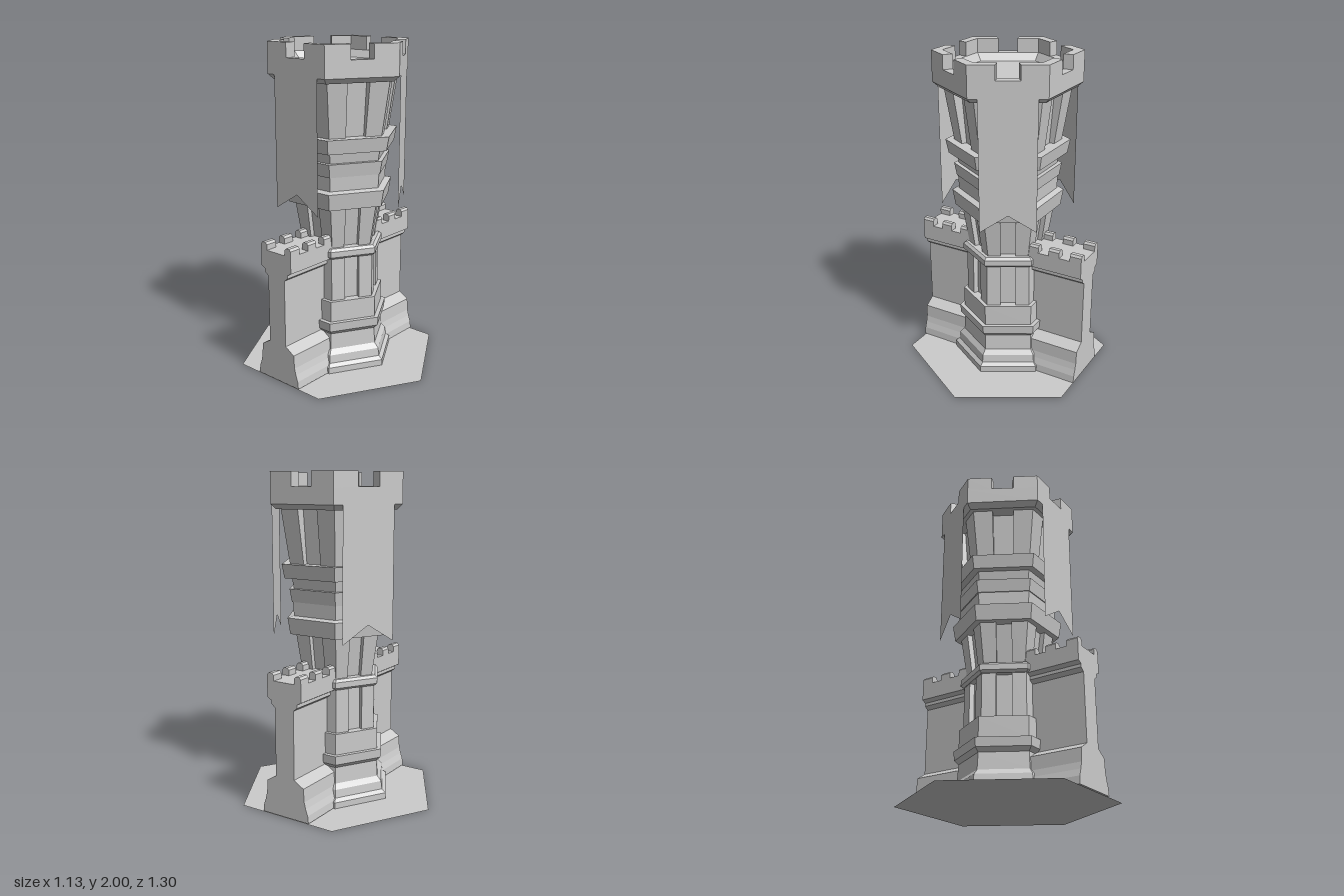
import * as THREE from 'three';

const mat = new THREE.MeshStandardMaterial({ color: 0xcccccc, flatShading: true });
const thinMat = new THREE.MeshStandardMaterial({ color: 0xcccccc, flatShading: true, side: THREE.DoubleSide });
const COS30 = Math.cos(Math.PI / 6);

function add(parent, name, geometry, material = mat) {
  const mesh = new THREE.Mesh(geometry, material);
  mesh.name = name;
  parent.add(mesh);
  return mesh;
}

// Cross-section of an angled corner block: half-gap g beside each face centre,
// outer and inner corner radii ro and ri
function cornerSection(y, ro, ri, g, gi = g) {
  const onFace = (face, r, s) => {
    const c = Math.cos(face), n = Math.sin(face), a = r * COS30;
    return [c * a - n * s, y, n * a + c * s];
  };
  const corner = (r) => [r * COS30, y, r * 0.5];
  const f = Math.PI / 3;
  return [onFace(0, ro, g), corner(ro), onFace(f, ro, -g), onFace(f, ri, -gi), corner(ri), onFace(0, ri, gi)];
}

// Joins a lower and an upper corner section into a closed block
function cornerBlock(lower, upper) {
  const index = [];
  const quad = (a, b, c, d) => index.push(a, b, c, a, c, d);
  for (let i = 0; i < 6; i++) {
    const j = (i + 1) % 6;
    quad(i, i + 6, j + 6, j);
  }
  quad(0, 1, 4, 5);
  quad(1, 2, 3, 4);
  quad(11, 10, 7, 6);
  quad(10, 9, 8, 7);
  const geo = new THREE.BufferGeometry();
  geo.setAttribute('position', new THREE.Float32BufferAttribute([...lower, ...upper].flat(), 3));
  geo.setIndex(index);
  geo.computeVertexNormals();
  return geo;
}

// Repeats a corner block on all six corners
function cornerRing(parent, name, lower, upper) {
  const ring = new THREE.Group();
  ring.name = name + 's';
  const geo = cornerBlock(lower, upper);
  for (let k = 0; k < 6; k++) add(ring, name, geo).rotation.y = k * Math.PI / 3;
  parent.add(ring);
}

// Extrudes a (z, y) outline along x, from x0 to x1
function extrudeX(points, x0, x1) {
  const shape = new THREE.Shape(points.map(([z, y]) => new THREE.Vector2(-z, y)));
  const geo = new THREE.ExtrudeGeometry(shape, { depth: x1 - x0, bevelEnabled: false });
  return geo.rotateY(Math.PI / 2).translate(x0, 0, 0);
}

export function createModel() {
  const model = new THREE.Group();
  model.name = 'hexagonalTower';

  // Flat six-sided ground plate
  add(model, 'groundPlate', new THREE.CircleGeometry(0.65, 6, Math.PI / 2).rotateX(-Math.PI / 2), thinMat);

  // Tower body: six-sided turned profile, with the recess backs as its core
  const profile = [
    [0, 0.002], [0.35, 0.002], [0.35, 0.04], [0.325, 0.06], [0.318, 0.11], [0.29, 0.14], [0.283, 0.24],
    [0.31, 0.265], [0.315, 0.32], [0.285, 0.32], [0.285, 0.45],
    [0.225, 0.45], [0.225, 0.72],
    [0.265, 0.72], [0.283, 0.735], [0.283, 0.77], [0.265, 0.785],
    [0.21, 0.785], [0.25, 1.04],
    [0.325, 1.04], [0.342, 1.14], [0.3, 1.15], [0.305, 1.235],
    [0.312, 1.235], [0.327, 1.315], [0.298, 1.315], [0.31, 1.38],
    [0.358, 1.38], [0.375, 1.465],
    [0.285, 1.465], [0.312, 1.785],
    [0.405, 1.785], [0.44, 1.815], [0.44, 1.915], [0.373, 1.915], [0.333, 1.87], [0, 1.87],
  ].map(([r, y]) => new THREE.Vector2(r, y));
  add(model, 'towerBody', new THREE.LatheGeometry(profile, 6));

  // Corner posts framing the recess on every face, tier by tier
  cornerRing(model, 'lowerPost', cornerSection(0.45, 0.26, 0.215, 0.046), cornerSection(0.725, 0.26, 0.215, 0.046));
  cornerRing(model, 'middlePost', cornerSection(0.78, 0.243, 0.2, 0.046), cornerSection(1.045, 0.287, 0.24, 0.046));
  cornerRing(model, 'upperPost', cornerSection(1.46, 0.321, 0.275, 0.06), cornerSection(1.79, 0.376, 0.3, 0.067));

  // Battlements
  cornerRing(model, 'towerMerlon', cornerSection(1.91, 0.44, 0.373, 0.069, 0.058), cornerSection(2, 0.44, 0.373, 0.069, 0.058));

  // Swallow-tailed banners on every second face
  const banner = new THREE.Shape([
    [-0.165, 1.82], [-0.165, 1.025], [0, 1.13], [0.165, 1.025], [0.165, 1.82],
  ].map(([x, y]) => new THREE.Vector2(x, y)));
  const bannerGeo = new THREE.ShapeGeometry(banner).translate(0, 0, 0.382);
  for (let k = 0; k < 3; k++) {
    add(model, 'banner', bannerGeo, thinMat).rotation.y = Math.PI / 6 + k * Math.PI * 2 / 3;
  }

  // Curtain wall running through the tower
  const half = [
    [0.165, 0.005], [0.16, 0.05], [0.146, 0.09], [0.136, 0.13], [0.131, 0.21], [0.066, 0.25],
    [0.066, 0.665], [0.092, 0.685], [0.092, 0.705], [0.12, 0.72], [0.12, 0.822],
  ];
  const outline = [...half, ...half.map(([z, y]) => [-z, y]).reverse()];
  add(model, 'curtainWall', extrudeX(outline, -0.565, 0.565));

  // Wall merlons with chamfered tops, on both edges and both wings
  for (const side of [-1, 1]) {
    const merlon = [[0.12, 0.815], [0.12, 0.855], [0.108, 0.868], [0.084, 0.868], [0.072, 0.855], [0.072, 0.815]]
      .map(([z, y]) => [z * side, y]);
    for (const start of [0.21, 0.35, 0.49]) {
      const end = start === 0.49 ? 0.565 : start + 0.07;
      add(model, 'wallMerlon', extrudeX(merlon, start, end));
      add(model, 'wallMerlon', extrudeX(merlon, -end, -start));
    }
  }
  return model;
}
